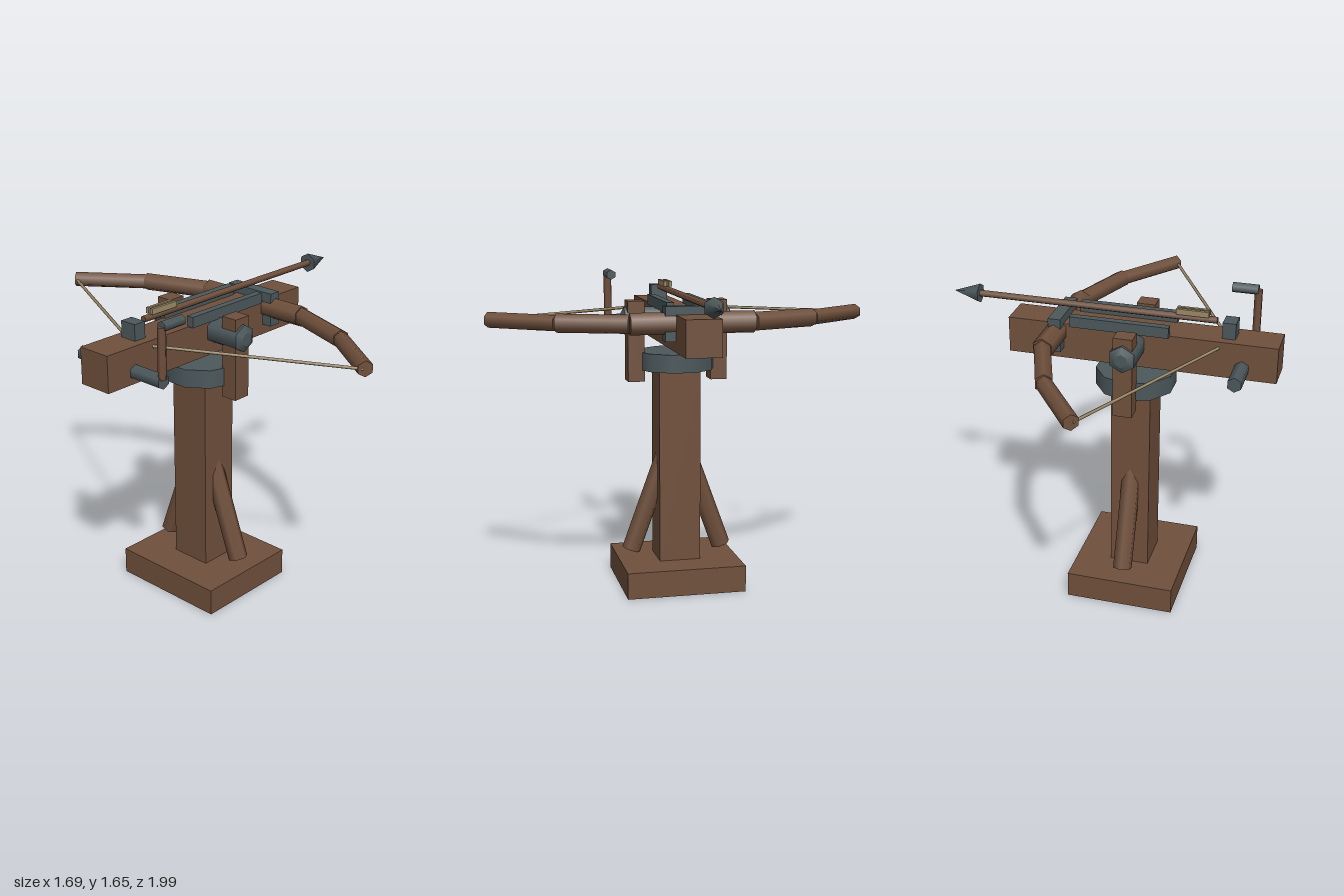
import * as THREE from 'three';

const mat = (color) => new THREE.MeshStandardMaterial({ color });

export function createModel() {
  const model = new THREE.Group();
  const wood = mat(0x70503c), iron = mat(0x4c585c), tan = mat(0x9c8a68);
  const CX = -0.125; // pedestal axis

  const add = (name, geometry, material) => {
    const mesh = new THREE.Mesh(geometry, material);
    mesh.name = name;
    model.add(mesh);
    return mesh;
  };

  // Box given by its extents on each axis
  const box = (name, material, [x0, x1], [y0, y1], [z0, z1]) => {
    const m = add(name, new THREE.BoxGeometry(x1 - x0, y1 - y0, z1 - z0), material);
    m.position.set((x0 + x1) / 2, (y0 + y1) / 2, (z0 + z1) / 2);
    return m;
  };

  // Six-sided rod from a to b, with one ridge turned towards "ridge"
  const rod = (name, material, a, b, r0, r1 = r0, ridge = [0, 1, 0]) => {
    const p = new THREE.Vector3(...a), q = new THREE.Vector3(...b);
    const dir = q.clone().sub(p);
    const m = add(name, new THREE.CylinderGeometry(r1, r0, dir.length(), 6), material);
    dir.normalize();
    const x = dir.clone().cross(new THREE.Vector3(...ridge)).normalize();
    const z = x.clone().cross(dir);
    m.quaternion.setFromRotationMatrix(new THREE.Matrix4().makeBasis(x, dir, z));
    m.position.copy(p).add(q).multiplyScalar(0.5);
    return m;
  };

  // Pedestal
  box('base', wood, [-0.408, 0.158], [0, 0.14], [-0.316, 0.316]);
  box('post', wood, [CX - 0.102, CX + 0.102], [0.14, 1.17], [-0.11, 0.11]);
  add('turntable', new THREE.CylinderGeometry(0.204, 0.204, 0.094, 10), iron)
    .position.set(CX, 1.212, 0);

  // Stock and its fittings
  box('stock', wood, [-0.848, 0.516], [1.303, 1.488], [-0.09, 0.09]);
  box('bowClamp', iron, [0.227, 0.291], [1.357, 1.53], [-0.143, 0.143]);
  box('stringCatch', iron, [-0.63, -0.563], [1.485, 1.57], [-0.045, 0.045]);

  for (const s of [-1, 1]) {
    const range = (a, b) => (s > 0 ? [a, b] : [-b, -a]);
    rod('brace', wood, [CX, 0.187, s * 0.248], [CX, 0.751, s * 0.043], 0.051, 0.051, [0, 0, 1]);
    box('yokeArm', wood, [CX - 0.048, CX + 0.048], [1.105, 1.525], range(0.176, 0.264));
    rod('trunnion', iron, [CX, 1.422, s * 0.09], [CX, 1.422, s * 0.278], 0.07);
    rod('trunnionCap', iron, [CX, 1.422, s * 0.278], [CX, 1.422, s * 0.296], 0.07, 0.035);
    box('guideRail', iron, [-0.313, 0.19], [1.485, 1.54], range(0.077, 0.115));

    // Bow limb in three thinning lengths, then its half of the string
    const y = 1.445;
    const joints = [[0.262, y, 0], [0.262, y, s * 0.316], [0.136, y, s * 0.66], [-0.095, y, s * 0.977]];
    [0.055, 0.047, 0.04].forEach((r, i) => rod('bowLimb', wood, joints[i], joints[i + 1], r));
    rod('bowString', tan, [-0.1, y, s * 0.97], [-0.6, 1.455, 0], 0.008);

    box('boltFin', tan, [-0.49, -0.327], [1.576, 1.605], range(0.006, 0.022));
  }

  // Bolt lying on the stock
  rod('boltShaft', wood, [-0.53, 1.56, 0], [0.7, 1.56, 0], 0.018);
  rod('boltHead', iron, [0.698, 1.56, 0], [0.838, 1.56, 0], 0.051, 0);

  // Winch with a crank on the left side
  rod('winchAxle', iron, [-0.675, 1.362, -0.275], [-0.675, 1.362, 0.275], 0.038);
  rod('crankArm', wood, [-0.679, 1.375, 0.272], [-0.679, 1.628, 0.272], 0.0215, 0.0215, [0, 0, 1]);
  rod('crankHandle', iron, [-0.68, 1.628, 0.272], [-0.548, 1.628, 0.272], 0.027);

  return model;
}
